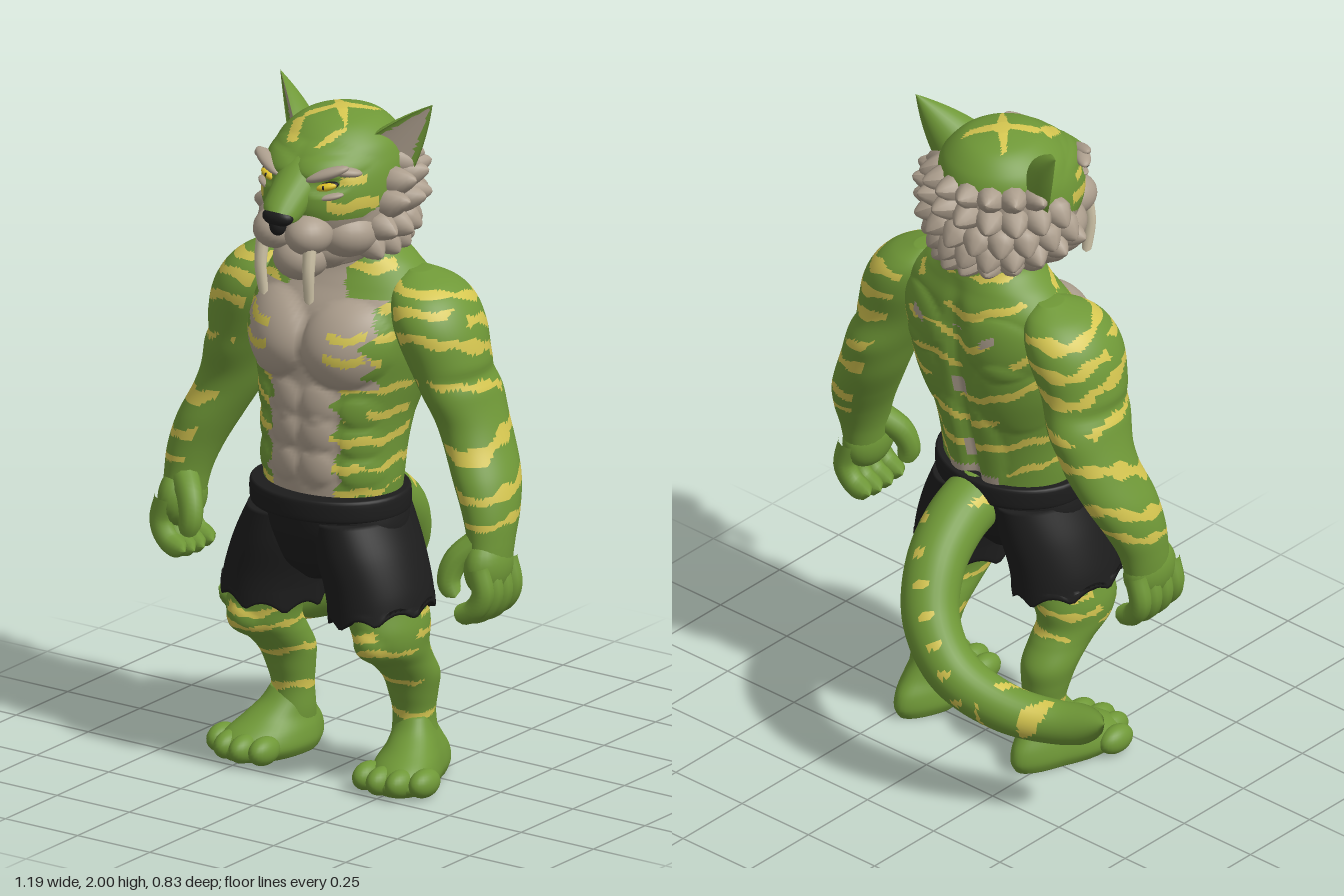
import * as THREE from 'three';
import { mergeGeometries } from 'three/addons/utils/BufferGeometryUtils.js';

const mat = (name, color) => new THREE.MeshStandardMaterial({ name, color });
const V = (a) => new THREE.Vector3(...a);
const frac = (t) => t - Math.floor(t);

// Smooth body part from rows of [y, centreX, centreZ, radiusX, radiusZ], lowest row first
function loft(rows, seg, steps, warp) {
  const pos = [], idx = [], v = new THREE.Vector3();
  const at = (i) => rows[Math.max(0, Math.min(rows.length - 1, i))];
  const row = (u) => {
    const f = u * (rows.length - 1), i = Math.min(Math.floor(f), rows.length - 2), t = f - i;
    return rows[0].map((_, k) => {
      const [a, b, c, d] = [at(i - 1)[k], at(i)[k], at(i + 1)[k], at(i + 2)[k]];
      return b + 0.5 * t * (c - a + t * (2 * a - 5 * b + 4 * c - d + t * (3 * (b - c) + d - a)));
    });
  };
  for (let i = 0; i <= steps; i++) {
    const [y, cx, cz, rx, rz] = row(i / steps);
    for (let j = 0; j < seg; j++) {
      const a = (j / seg) * Math.PI * 2;
      v.set(cx + rx * Math.sin(a), y, cz + rz * Math.cos(a));
      if (warp) warp(v, a, i / steps);
      pos.push(v.x, v.y, v.z);
      if (i < steps) {
        const p = i * seg + j, q = i * seg + (j + 1) % seg;
        idx.push(p, q, q + seg, p, q + seg, p + seg);
      }
    }
  }
  // end caps
  const n = pos.length / 3, last = steps * seg, lo = row(0), hi = row(1);
  pos.push(lo[1], lo[0], lo[2], hi[1], hi[0], hi[2]);
  for (let j = 0; j < seg; j++) {
    const k = (j + 1) % seg;
    idx.push(n, k, j, n + 1, last + j, last + k);
  }
  const g = new THREE.BufferGeometry();
  g.setAttribute('position', new THREE.Float32BufferAttribute(pos, 3));
  g.setIndex(idx);
  g.computeVertexNormals();
  return g;
}

// Tube with a changing radius
function tube(points, radius, n = 16, m = 10) {
  const curve = new THREE.CatmullRomCurve3(points.map(V));
  const g = new THREE.TubeGeometry(curve, n, 1, m), p = g.attributes.position, v = new THREE.Vector3();
  for (let i = 0; i < p.count; i++) {
    const t = Math.floor(i / (m + 1)) / n, c = curve.getPointAt(t);
    v.fromBufferAttribute(p, i).sub(c).multiplyScalar(radius(t)).add(c);
    p.setXYZ(i, v.x, v.y, v.z);
  }
  return g;
}
const roundTip = (t, start) => t < start ? 1 : Math.sqrt(Math.max(0, 1 - ((t - start) / (1 - start)) ** 2));

const ball = (x, y, z, rx, ry, rz, tilt = 0, turn = 0) =>
  new THREE.SphereGeometry(1, 24, 16).scale(rx, ry, rz).rotateZ(tilt).rotateY(turn).translate(x, y, z);

// Sorts faces into material groups by rule(centre, normal)
function paint(g, rule) {
  const p = g.attributes.position, ix = g.index.array, lists = [[], [], []], t = new THREE.Triangle();
  const c = new THREE.Vector3(), n = new THREE.Vector3();
  for (let i = 0; i < ix.length; i += 3) {
    t.setFromAttributeAndIndices(p, ix[i], ix[i + 1], ix[i + 2]);
    t.getMidpoint(c);
    t.getNormal(n);
    lists[rule(c, n)].push(ix[i], ix[i + 1], ix[i + 2]);
  }
  g.setIndex(lists.flat());
  g.clearGroups();
  let start = 0;
  lists.forEach((l, k) => { if (l.length) g.addGroup(start, l.length, k); start += l.length; });
  return g;
}

function mirrored(g) {
  const m = g.clone().scale(-1, 1, 1), a = m.index.array;
  for (let i = 0; i < a.length; i += 3) [a[i], a[i + 1]] = [a[i + 1], a[i]];
  return m;
}

// Domed muscle swelling
const dome = (x, y, cx, cy, rx, ry) =>
  Math.pow(Math.max(0, 1 - ((x - cx) / rx) ** 2 - ((y - cy) / ry) ** 2), 0.65);

// Broken wavy stripes, repeating or as bands of [height, slope in z, half width]
const wave = (p) => Math.sin(p.x * 23 + p.z * 17) * 0.014 + Math.sin(p.z * 47 - p.x * 31) * 0.006;
const patch = (p) => Math.sin(p.x * 17 + p.y * 29 + 1) * Math.sin(p.z * 21 + p.y * 13 + 0.5);
const striped = (p, t, gap, width, cut) => frac((t + wave(p)) / gap) < width && patch(p) > cut;
const banded = (p, bands) => bands.some(([y, slope, half]) =>
  Math.abs(p.y - y - slope * p.z + wave(p) * 0.6) < half * (1 + 0.35 * Math.sin(p.z * 60 + p.x * 40)));

export function createModel() {
  const root = new THREE.Group();
  root.name = 'sabreToothFighter';
  const green = mat('green fur', 0x6f9837), yellow = mat('yellow stripe', 0xd5c650), beige = mat('beige fur', 0xac9e8d);
  const black = mat('black cloth', 0x1d1d1d), ivory = mat('ivory', 0xcfc4a8), gold = mat('gold eye', 0xe2c52a);
  const fur = [green, yellow, beige];
  const add = (name, g, m) => {
    const mesh = new THREE.Mesh(g, m);
    mesh.name = name;
    root.add(mesh);
  };
  const both = (name, g, m) => { add(name + 'Left', g, m); add(name + 'Right', mirrored(g), m); };

  // Torso and neck with chest, belly and back muscles
  const torso = loft([[0.78, 0, 0.11, 0.2, 0.16], [0.9, 0, 0.11, 0.215, 0.168], [1, 0, 0.1, 0.22, 0.178],
    [1.1, 0, 0.085, 0.235, 0.19], [1.2, 0, 0.07, 0.265, 0.195], [1.3, 0, 0.06, 0.29, 0.2],
    [1.4, 0, 0.045, 0.295, 0.185], [1.47, 0, 0.025, 0.27, 0.16], [1.525, 0, 0.02, 0.21, 0.138],
    [1.58, 0, 0.025, 0.145, 0.13], [1.66, 0, 0.03, 0.125, 0.125]], 128, 110, (v, a) => {
    const x = Math.abs(v.x), y = v.y;
    if (Math.cos(a) > 0) {
      v.z += 0.055 * dome(x, y, 0.12, 1.315, 0.128, 0.125);
      for (const cy of [1.14, 1.05, 0.95]) v.z += 0.014 * dome(x, y, 0.055, cy, 0.058, 0.054);
      for (const cy of [1.12, 1.03, 0.94]) v.z += 0.012 * dome(x, y, 0.165, cy, 0.05, 0.045);
    } else {
      const fade = Math.min(1, Math.max(0, (1.55 - y) * 5));
      v.z += 0.028 * fade * Math.exp(-((x / 0.028) ** 2));
      v.z -= 0.022 * dome(x, y, 0.15, 1.37, 0.11, 0.1) + 0.018 * dome(x, y, 0.16, 1.2, 0.1, 0.13);
      v.z -= 0.014 * dome(x, y, 0.06, 0.98, 0.055, 0.16);
    }
  });
  add('torso', paint(torso, (p) => {
    const x = Math.abs(p.x), y = p.y, ragged = 0.012 * Math.sin(y * 70) + 0.006 * Math.sin(y * 131);
    if (p.z > 0.08) {
      const bar = Math.abs(y - 1.365 + wave(p)) < 0.013 || Math.abs(y - 1.3 + wave(p)) < 0.014;
      if (bar && x > 0.1 && x < 0.2) return 1;
      if (y > 1.19 && y < 1.445 && x < 0.205 + ragged) return 2;
      if (y <= 1.19 && x < 0.112 + ragged) return 2;
      if (y >= 1.445 && x < 0.085 + ragged) return 2;
      return striped(p, y - 0.05 * x - 0.015, 0.078, 0.32, -0.5) ? 1 : 0;
    }
    // pale flecks down the back
    if (x < 0.022 && frac(y * 4.3) < 0.25 && y < 1.4) return 2;
    if (Math.abs(x - 0.13) < 0.022 && Math.abs(y - 1.4 - 0.6 * (x - 0.13)) < 0.014) return 2;
    if (y < 0.895 && x < 0.09) return 2;
    return striped(p, y - 0.45 * x, 0.095, 0.27, -0.2) ? 1 : 0;
  }), fur);

  // Arms
  const arm = loft([[0.7, 0.53, 0.095, 0.052, 0.078], [0.78, 0.525, 0.08, 0.06, 0.083], [0.86, 0.51, 0.06, 0.073, 0.1],
    [0.95, 0.477, 0.035, 0.086, 0.117], [1.05, 0.428, 0.01, 0.092, 0.12], [1.15, 0.388, 0.01, 0.096, 0.122],
    [1.27, 0.345, 0.03, 0.112, 0.138], [1.37, 0.312, 0.033, 0.122, 0.152], [1.44, 0.285, 0.028, 0.112, 0.138],
    [1.485, 0.26, 0.022, 0.085, 0.1], [1.515, 0.235, 0.015, 0.03, 0.04]], 56, 100, (v, a) => {
    // biceps and triceps swelling, deltoid crease
    v.z += 0.016 * Math.cos(a) * Math.exp(-(((v.y - 1.17) / 0.06) ** 2));
    v.x -= 0.012 * Math.max(0, Math.sin(a)) * Math.exp(-(((v.y - 1.235) / 0.025) ** 2));
  });
  const armBands = [[0.87, -0.2, 0.012], [0.945, -0.2, 0.016], [1.065, -0.3, 0.018], [1.2, 0.15, 0.012],
    [1.31, 0.25, 0.017], [1.39, 0.22, 0.016], [1.46, 0.2, 0.014]];
  both('arm', paint(arm, (p, n) => n.x > -0.5 && patch(p) > -0.75 && banded(p, armBands) ? 1 : 0), fur);

  // Hands: palm, four curled fingers, thumb
  const hand = [ball(0.53, 0.71, 0.1, 0.058, 0.09, 0.092)];
  for (let i = 0; i < 4; i++) {
    const z = 0.03 + 0.046 * i, drop = 0.012 * Math.sin((i + 0.5) * 0.9);
    hand.push(tube([[0.54, 0.72, z], [0.558, 0.645 - drop, z], [0.53, 0.595 - drop, z + 0.004], [0.468, 0.57 - drop, z + 0.006]],
      (t) => 0.033 * roundTip(t, 0.8)));
  }
  hand.push(tube([[0.51, 0.78, 0.12], [0.462, 0.73, 0.16], [0.447, 0.67, 0.178], [0.467, 0.62, 0.175]],
    (t) => (0.042 - 0.012 * t) * roundTip(t, 0.8)));
  both('hand', mergeGeometries(hand), green);

  // Legs
  const leg = loft([[0.05, 0.225, 0.01, 0.07, 0.09], [0.12, 0.213, 0.012, 0.065, 0.072], [0.19, 0.21, 0.013, 0.06, 0.064],
    [0.25, 0.212, 0.02, 0.068, 0.075], [0.31, 0.215, 0.035, 0.078, 0.09], [0.37, 0.216, 0.085, 0.083, 0.105],
    [0.42, 0.22, 0.13, 0.09, 0.125], [0.48, 0.215, 0.135, 0.099, 0.138], [0.55, 0.19, 0.13, 0.112, 0.14],
    [0.62, 0.17, 0.13, 0.125, 0.14]], 48, 70, (v, a) => {
    if (Math.cos(a) > 0) v.z += 0.018 * dome(v.x, v.y, 0.22, 0.43, 0.055, 0.06);
  });
  const legBands = [[0.195, 0, 0.011], [0.315, 0, 0.011], [0.4, 0.1, 0.009], [0.475, 0, 0.011], [0.535, 0, 0.012]];
  both('leg', paint(leg, (p) => patch(p) > -0.15 && banded(p, legBands) ? 1 : 0), fur);

  // Feet with four toes
  const foot = [loft([[0, 0.22, 0.055, 0.085, 0.165], [0.03, 0.22, 0.06, 0.1, 0.185], [0.07, 0.22, 0.052, 0.094, 0.168],
    [0.11, 0.22, 0.035, 0.078, 0.12], [0.15, 0.213, 0.02, 0.066, 0.08], [0.19, 0.21, 0.012, 0.054, 0.058]], 40, 24, (v) => {
    v.x = 0.22 + (v.x - 0.22) * (0.88 + v.z * 1.5) + Math.max(0, v.z) * 0.22;
  })];
  [[0.18, 0.195], [0.238, 0.21], [0.297, 0.2], [0.35, 0.16]].forEach(([x, z]) => foot.push(ball(x, 0.041, z, 0.036, 0.041, 0.06)));
  foot.forEach((g) => g.deleteAttribute('uv'));
  both('foot', mergeGeometries(foot), green);

  // Shorts with a waistband and ragged hems
  add('shortsSeat', loft([[0.6, 0, 0.13, 0.06, 0.09], [0.66, 0, 0.13, 0.17, 0.145], [0.75, 0, 0.127, 0.24, 0.182],
    [0.83, 0, 0.125, 0.234, 0.197]], 48, 20), black);
  add('waistband', loft([[0.805, 0, 0.125, 0.234, 0.198], [0.815, 0, 0.125, 0.24, 0.204], [0.86, 0, 0.125, 0.24, 0.204],
    [0.87, 0, 0.125, 0.232, 0.198]], 48, 12), black);
  both('shortsLeg', loft([[0.52, 0.187, 0.137, 0.138, 0.175], [0.6, 0.172, 0.135, 0.14, 0.176], [0.7, 0.14, 0.132, 0.138, 0.182],
    [0.8, 0.11, 0.127, 0.12, 0.18]], 64, 20, (v, a, u) => {
    if (u < 0.12) v.y += 0.03 * Math.abs(Math.sin(a * 4 + 0.6)) + 0.025 * Math.sin(a) - 0.02;
  }), black);

  // Tail
  const tail = tube([[0.01, 0.79, -0.02], [0, 0.75, -0.13], [-0.025, 0.67, -0.24], [-0.08, 0.55, -0.32], [-0.18, 0.43, -0.34],
    [-0.33, 0.35, -0.295], [-0.47, 0.325, -0.225], [-0.6, 0.345, -0.17]],
  (t) => (0.09 - 0.012 * t - 0.022 * t * t) * roundTip(t, 0.92), 90, 32);
  add('tail', paint(tail, (p) => {
    if (p.x < -0.3) return p.x > -0.57 && frac((p.x + 0.3 * p.z + wave(p)) / 0.11) < 0.24 && patch(p) > -0.6 ? 1 : 0;
    return Math.sin(p.x * 37 + p.y * 20) * Math.sin(p.y * 41 + p.z * 11) > 0.8 ? 1 : 0;
  }), fur);

  // Head
  const skull = loft([[1.55, 0, 0.14, 0.115, 0.13], [1.62, 0, 0.12, 0.165, 0.175], [1.68, 0, 0.1, 0.19, 0.2],
    [1.74, 0, 0.1, 0.197, 0.207], [1.8, 0, 0.09, 0.195, 0.208], [1.85, 0, 0.08, 0.185, 0.195],
    [1.9, 0, 0.075, 0.16, 0.17], [1.945, 0, 0.07, 0.105, 0.115], [1.967, 0, 0.07, 0.025, 0.03]], 96, 70, (v, a) => {
    // face pushed forward, eye sockets and brow ridge
    const x = Math.abs(v.x);
    if (Math.cos(a) > 0) {
      v.z += 0.03 * dome(x, v.y, 0.05, 1.78, 0.15, 0.13);
      v.z += 0.014 * dome(x, v.y, 0.085, 1.85, 0.085, 0.03) - 0.012 * dome(x, v.y, 0.1, 1.8, 0.05, 0.025);
    }
  });
  add('head', paint(skull, (p) => {
    const x = Math.abs(p.x), z = p.z, ragged = wave(p) * 0.5;
    if (p.y < 1.705 + 0.5 * Math.min(0.15, Math.max(0, 0.2 - z)) || (p.y < 1.85 && z < 0.03)) return 2;
    if (p.y > 1.85 && x < 0.075 && Math.abs(x - Math.abs(z - 0.075) * 0.95) < 0.016 + ragged) return 1;
    if (p.y > 1.85 && z > 0.16 && z < 0.25 && Math.abs(x - 0.085 + (z - 0.16) * 0.5) < 0.015 + ragged) return 1;
    if (z > 0.16 && x > 0.11 && Math.abs(p.y - 1.757 + wave(p)) < 0.017) return 1;
    if (z > 0.19 && x > 0.13 && Math.abs(p.y - 1.815) < 0.012) return 1;
    return 0;
  }), fur);
  add('noseBridge', tube([[0, 1.84, 0.2], [0, 1.79, 0.282], [0, 1.74, 0.352], [0, 1.71, 0.385]],
    (t) => (0.075 - 0.026 * t) * roundTip(t, 0.85), 20, 20).scale(1.1, 1, 1), green);
  add('nose', mergeGeometries([ball(0, 1.72, 0.38, 0.05, 0.027, 0.03), ball(0, 1.695, 0.38, 0.025, 0.03, 0.024)]), black);
  both('muzzle', ball(0.055, 1.66, 0.305, 0.066, 0.06, 0.077), beige);
  both('cheek', ball(0.095, 1.645, 0.18, 0.095, 0.075, 0.1), beige);
  add('chin', mergeGeometries([ball(0, 1.575, 0.265, 0.08, 0.07, 0.085), ball(0, 1.6, 0.19, 0.125, 0.08, 0.1)]), beige);
  both('tusk', tube([[0.08, 1.65, 0.335], [0.083, 1.56, 0.348], [0.078, 1.46, 0.338]], (t) => 0.021 * (1 - 0.35 * t) * roundTip(t, 0.9)), ivory);
  both('brow', mergeGeometries([ball(0.102, 1.84, 0.284, 0.066, 0.016, 0.024, 0.35, 0.45),
    ball(0.145, 1.845, 0.25, 0.045, 0.014, 0.022, -0.1, 0.7), ball(0.112, 1.774, 0.281, 0.038, 0.01, 0.018, 0.2, 0.55)]), beige);
  both('eyeRim', ball(0.1, 1.803, 0.28, 0.034, 0.0125, 0.016, 0.25, 0.4), black);
  both('eye', ball(0.1, 1.802, 0.284, 0.032, 0.012, 0.017, 0.25, 0.4), gold);
  both('pupil', ball(0.099, 1.802, 0.298, 0.005, 0.007, 0.005), black);

  // Ears: broad cones with a hollow front, opening forwards and outwards
  const ear = new THREE.ConeGeometry(0.09, 0.22, 28, 14), ep = ear.attributes.position;
  for (let i = 0; i < ep.count; i++) {
    const swell = 1 + 0.5 * (ep.getY(i) / 0.22 + 0.5), z = ep.getZ(i);
    ep.setX(i, ep.getX(i) * swell);
    ep.setZ(i, z * (z > 0 ? -0.25 : swell));
  }
  ear.computeVertexNormals();
  paint(ear, (p, n) => n.z > 0.2 && Math.abs(p.x) < 0.38 * (0.1 - p.y) ? 2 : 0);
  const axis = V([0.088, 0.14, -0.07]).normalize(), base = V([0.264, 2, 0]).addScaledVector(axis, -0.11);
  ear.rotateY(0.8).applyQuaternion(new THREE.Quaternion().setFromUnitVectors(V([0, 1, 0]), axis)).translate(base.x, base.y, base.z);
  both('ear', ear, fur);

  // Shaggy mane of blunt overlapping tufts around the back of the head
  const tufts = [];
  [[1.82, 112, 0.18, 0.19], [1.77, 92, 0.195, 0.205], [1.715, 84, 0.2, 0.21], [1.66, 76, 0.19, 0.2], [1.615, 72, 0.165, 0.185]].forEach(([y, from, rx, rz], r) => {
    const count = Math.round((360 - 2 * from) / 19);
    for (let i = 0; i <= count; i++) {
      const a = THREE.MathUtils.degToRad(from + (i / count) * (360 - 2 * from));
      const jitter = Math.sin(i * 12.9 + r * 7.3), dir = V([Math.sin(a), -0.25 + 0.5 * jitter, Math.cos(a) * 0.9 - 0.1]).normalize();
      const tuft = new THREE.SphereGeometry(0.045, 10, 8), tp = tuft.attributes.position;
      for (let k = 0; k < tp.count; k++) {
        const taper = 1 - 9 * Math.max(0, tp.getY(k));
        tp.setXYZ(k, tp.getX(k) * taper, tp.getY(k) * (1.35 + 0.2 * jitter), tp.getZ(k) * taper);
      }
      tuft.computeVertexNormals();
      tufts.push(tuft.applyQuaternion(new THREE.Quaternion().setFromUnitVectors(V([0, 1, 0]), dir))
        .translate(rx * Math.sin(a), y + 0.014 * jitter, 0.09 + rz * Math.cos(a)));
    }
  });
  add('mane', mergeGeometries(tufts), beige);
  return root;
}
